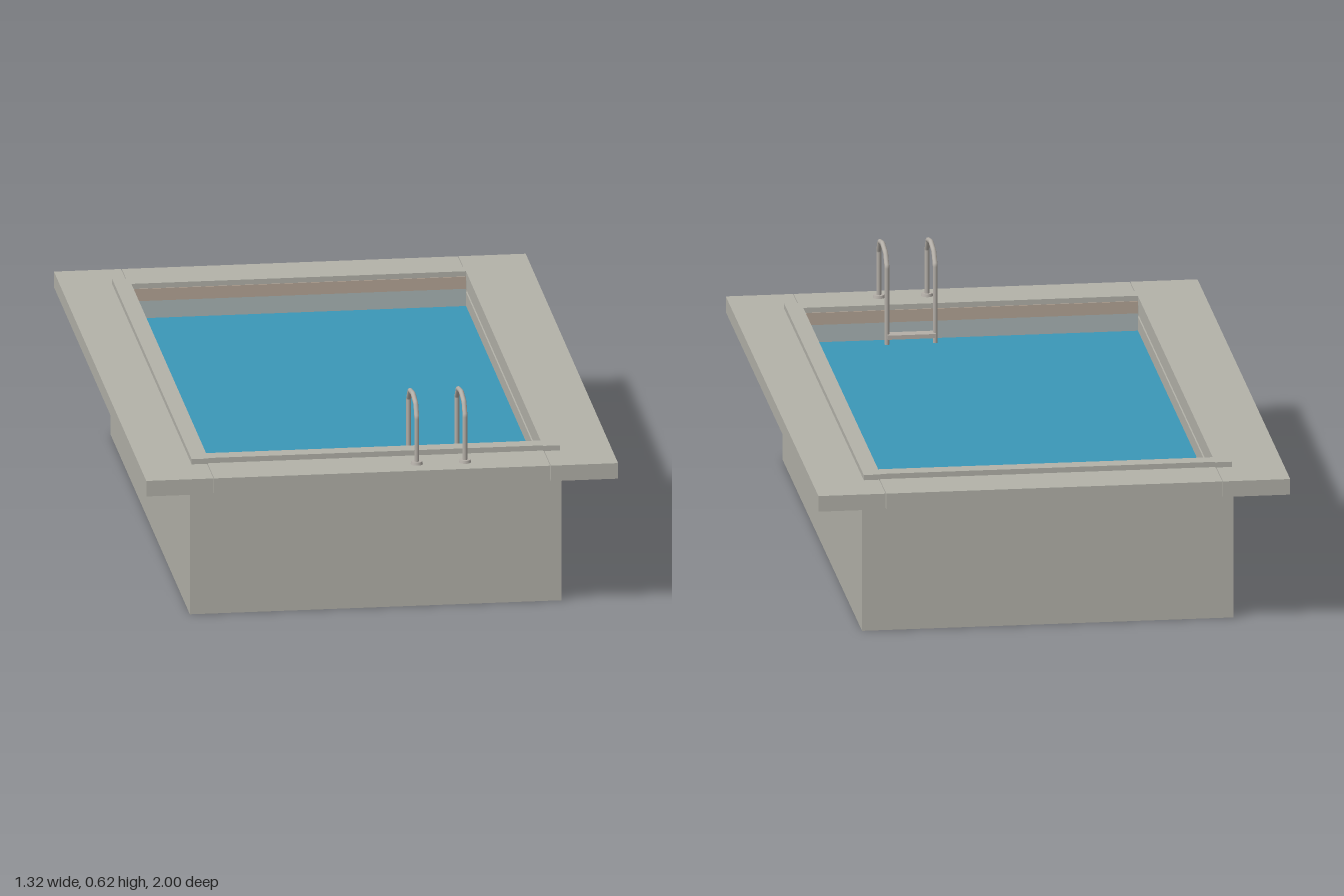
import * as THREE from 'three';

const material = (name, color) => {
  const m = new THREE.MeshStandardMaterial({ color });
  m.name = name;
  return m;
};

export function createModel() {
  const stone = material('stone', 0xb3b2a9);
  const waterBlue = material('waterBlue', 0x3b97b8);
  const tile = material('paleTile', 0xa9b5b6);
  const trim = material('warmTrim', 0xb5a596);
  const metal = material('metal', 0xb4afa8);

  const model = new THREE.Group();
  model.name = 'swimmingPool';

  const add = (name, geometry, mat, x = 0, y = 0, z = 0, parent = model) => {
    const mesh = new THREE.Mesh(geometry, mat);
    mesh.name = name;
    mesh.position.set(x, y, z);
    parent.add(mesh);
    return mesh;
  };
  // Box given by its limits on each axis
  const block = (name, mat, [x0, x1], [y0, y1], [z0, z1], parent) =>
    add(name, new THREE.BoxGeometry(x1 - x0, y1 - y0, z1 - z0), mat,
      (x0 + x1) / 2, (y0 + y1) / 2, (z0 + z1) / 2, parent);
  const span = (a, b, side) => (side > 0 ? [a, b] : [-b, -a]);

  const inX = 0.468, inZ = 0.808;
  const floorY = 0.03, waterY = 0.35, deckY = 0.39, deckTop = 0.435, rimTop = 0.45;

  // Basin floor and water surface
  block('basinFloor', stone, [-0.52, 0.52], [0, floorY], [-0.86, 0.86]);
  const water = add('water', new THREE.PlaneGeometry(inX * 2, inZ * 2), waterBlue, 0, waterY, 0);
  water.rotation.x = -Math.PI / 2;

  for (const s of [1, -1]) {
    // Basin walls
    block('sideWall', stone, span(inX, 0.52, s), [floorY, deckY], [-0.86, 0.86]);
    block('endWall', stone, [-inX, inX], [floorY, deckY], span(inZ, 0.86, s));

    // Deck slabs around the opening
    block('sideDeck', stone, span(0.472, 0.66, s), [deckY, deckTop], [-1, 1]);
    block('endDeck', stone, [-0.47, 0.47], [deckY, deckTop], span(inZ, 1, s));

    // Raised coping at the water's edge
    block('sideCoping', stone, span(inX, 0.515, s), [deckTop - 0.01, rimTop], [-0.86, 0.86]);
    block('endCoping', stone, [-inX, inX], [deckTop - 0.01, rimTop], span(inZ, 0.855, s));

    // Thin tile and trim bands on the end walls
    block('endTileBand', tile, [-inX, inX], [waterY, 0.4], span(inZ - 0.003, inZ, s));
    block('endTrimBand', trim, [-inX, inX], [0.4, deckTop], span(inZ - 0.003, inZ, s));
  }

  // Ladder: two bent rails with floor flanges and a step
  const ladder = new THREE.Group();
  ladder.name = 'ladder';
  model.add(ladder);

  const points = [
    [deckTop, 0.936], [0.57, 0.936], [0.603, 0.915], [0.615, 0.855],
    [0.605, 0.79], [0.572, 0.76], [0.3, 0.76],
  ].map(([y, z]) => new THREE.Vector3(0, y, z));
  const path = new THREE.CurvePath();
  for (let i = 1; i < points.length; i++) path.add(new THREE.LineCurve3(points[i - 1], points[i]));

  for (const x of [0.105, 0.24]) {
    add('ladderRail', new THREE.TubeGeometry(path, 80, 0.007, 10), metal, x, 0, 0, ladder);
    add('railFlange', new THREE.CylinderGeometry(0.015, 0.017, 0.008, 20), metal,
      x, deckTop + 0.004, 0.936, ladder);
  }
  block('ladderStep', metal, [0.105, 0.24], [0.368, 0.38], [0.742, 0.776], ladder);

  return model;
}
